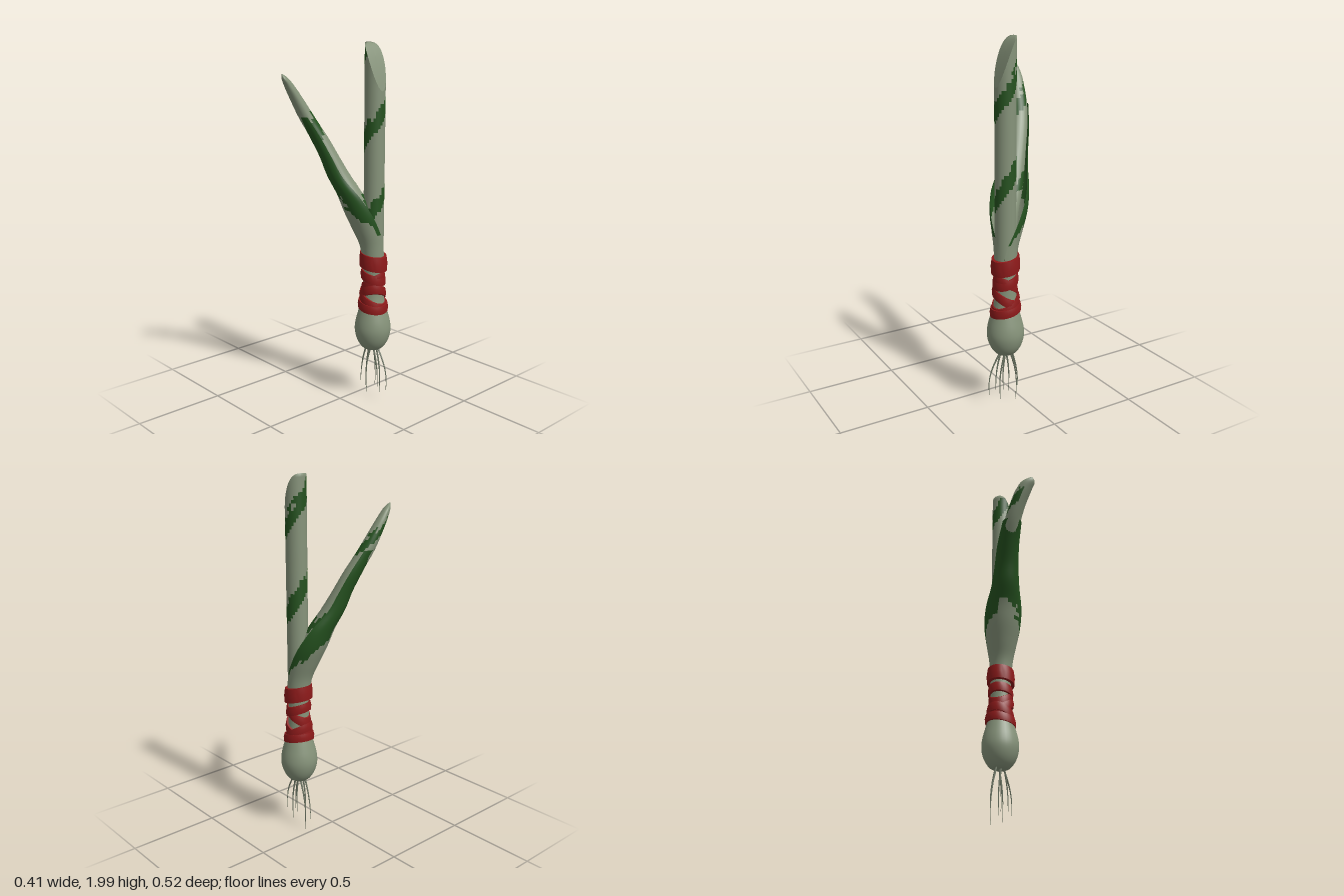
import * as THREE from 'three';
import { toCreasedNormals } from 'three/addons/utils/BufferGeometryUtils.js';

const CX = 0.098, CZ = -0.16; // main axis of the plant
const paint = (color) => new THREE.MeshStandardMaterial({ color, side: THREE.DoubleSide });
const PALE = paint(0x86937a), GREEN = paint(0x25521f), RED = paint(0x8e1a1a), ROOT = paint(0x6f7866);

// Repeatable value 0..1 for the blocky mottling
const hash = (i, j) => {
  const s = Math.sin(i * 12.99 + j * 78.23) * 4375.85;
  return s - Math.floor(s);
};

// Smooth interpolation through rows of [y, ...values]
function curveOf(keys) {
  const size = keys[0].length - 1;
  const lookup = new THREE.CubicInterpolant(
    keys.map((k) => k[0]), keys.flatMap((k) => k.slice(1)), size, new Float32Array(size));
  return (y) => Array.from(lookup.evaluate(y));
}

// Skin over rows of points, bottom to top; each cell takes one of two colours
function loft(name, rows, segs, closed, point, isGreen, base = PALE) {
  const n = closed ? segs : segs + 1;
  const position = [], all = [], pale = [], green = [];
  for (let i = 0; i <= rows; i++) for (let j = 0; j < n; j++) position.push(...point(i, j / segs));
  for (let i = 0; i < rows; i++) {
    for (let j = 0; j < segs; j++) {
      const k = (j + 1) % n;
      const a = i * n + j, b = i * n + k, c = (i + 1) * n + k, d = (i + 1) * n + j;
      const y = position[a * 3 + 1];
      const quad = [a, b, c, a, c, d];
      all.push(...quad);
      (isGreen && isGreen(y, (j + 0.5) / segs, i, j) ? green : pale).push(...quad);
    }
  }
  const whole = new THREE.BufferGeometry();
  whole.setAttribute('position', new THREE.Float32BufferAttribute(position, 3));
  whole.setIndex(all);
  whole.computeVertexNormals();
  const group = new THREE.Group();
  group.name = name;
  [[pale, base, 'Pale'], [green, GREEN, 'Green']].forEach(([index, material, suffix]) => {
    if (!index.length) return;
    const part = whole.clone().setIndex(index);
    const mesh = new THREE.Mesh(part, material);
    mesh.name = name + suffix;
    group.add(mesh);
  });
  return group;
}

// Round bulb narrowing into the neck
function bulb() {
  const outline = [[0, 0.31], [0.04, 0.308], [0.068, 0.33], [0.09, 0.37], [0.101, 0.42], [0.097, 0.47],
    [0.082, 0.53], [0.066, 0.59], [0.058, 0.66], [0.056, 0.8]].map((p) => new THREE.Vector2(...p));
  const smooth = new THREE.SplineCurve(outline).getPoints(36);
  smooth.forEach((p) => { p.x = Math.max(p.x, 0); });
  const mesh = new THREE.Mesh(new THREE.LatheGeometry(smooth, 32), PALE);
  mesh.name = 'bulb';
  mesh.position.set(CX, 0, CZ);
  return mesh;
}

// Upright stalk with a slanting cut at the top and a green spiral stripe
function stalk() {
  const sides = 70, caps = 6;
  const point = (i, u) => {
    const t = u * Math.PI * 2;
    const r = 0.056 * (i <= sides ? 1 : 1 - (i - sides) / caps);
    const x = CX + r * Math.sin(t);
    const across = Math.max(0, (x - 0.042) / 0.112);
    const y = Math.min(0.7 + 1.3 * Math.min(1, i / sides), 2 - 0.25 * across ** 1.8);
    return [x, y, CZ + r * Math.cos(t)];
  };
  const stripe = (y, u, i, j) => {
    const phase = (y - 0.46 * u - 1.46 + 4.6) % 0.46;
    return i < sides && phase < 0.08 + 0.05 * hash(i >> 1, j >> 1);
  };
  return loft('stalk', sides + caps, 28, true, point, stripe);
}

// Side leaf: y, centre x, centre z, half depth (outward), half width
const leafAt = curveOf([
  [0.9, 0.095, -0.155, 0.054, 0.054], [1.1, 0.06, -0.115, 0.058, 0.062], [1.2, 0.015, -0.07, 0.062, 0.066],
  [1.3, -0.03, -0.028, 0.056, 0.06], [1.4, -0.066, 0.008, 0.047, 0.056], [1.5, -0.105, 0.05, 0.047, 0.052],
  [1.6, -0.142, 0.1, 0.044, 0.046], [1.7, -0.16, 0.155, 0.036, 0.044], [1.78, -0.166, 0.205, 0.026, 0.043],
  [1.82, -0.164, 0.235, 0.016, 0.034], [1.84, -0.162, 0.252, 0.003, 0.008]]);

// Dark outer sheath, open towards the stalk: ..., plus half angle of the wrap
const sheathAt = curveOf([
  [0.82, 0.098, -0.16, 0.059, 0.059, 3.14], [0.92, 0.09, -0.152, 0.068, 0.066, 2.8],
  [1.0, 0.075, -0.138, 0.084, 0.082, 2.45], [1.1, 0.052, -0.115, 0.098, 0.1, 2.15],
  [1.2, 0.022, -0.083, 0.094, 0.1, 1.9], [1.3, -0.028, -0.032, 0.075, 0.078, 1.75],
  [1.4, -0.064, 0.004, 0.063, 0.067, 1.7], [1.5, -0.1, 0.042, 0.06, 0.061, 1.65],
  [1.615, -0.14, 0.1, 0.05, 0.053, 1.6]]);

// Point on a level ellipse whose depth axis leans out to the front right
function oval([x, z, depth, width], angle, y) {
  const out = depth * Math.cos(angle), side = width * Math.sin(angle);
  return [x + (side - out) * Math.SQRT1_2, y, z + (side + out) * Math.SQRT1_2];
}

function sideLeaf() {
  const rows = 48;
  const height = (i) => 0.9 + 0.94 * Math.sin((i / rows) * Math.PI / 2);
  return loft('sideLeaf', rows, 24, true,
    (i, u) => oval(leafAt(height(i)), u * Math.PI * 2, height(i)),
    (y, u, i, j) => {
      const stripe = (y - 0.3 * u + 3) % 0.42;
      return stripe > 0.2 && stripe < 0.25 + 0.06 * hash(i >> 1, j >> 1) && y < 1.8;
    });
}

function sheath() {
  const rows = 40;
  const height = (i) => 0.82 + 0.795 * i / rows;
  return loft('sheath', rows, 30, false,
    (i, u) => {
      const [x, z, depth, width, wrap] = sheathAt(height(i));
      return oval([x, z, depth, width], (u * 2 - 1) * wrap, height(i));
    },
    (y, u, i, j) => y > 1.17 - 0.25 * (u * 2 - 1) ** 2 + 0.1 * (hash(i >> 1, j >> 2) - 0.5));
}

// Flat ribbon loops, each tilted across x and z
function binding() {
  const group = new THREE.Group();
  group.name = 'ribbonBinding';
  const loops = [
    // y, outer radius, height, tilt in x, tilt in z
    [0.825, 0.076, 0.08, -0.2, 0.05], [0.735, 0.068, 0.05, -0.3, 0.1], [0.705, 0.065, 0.05, 0.6, -0.2],
    [0.635, 0.071, 0.05, 0.45, 0.35], [0.6, 0.075, 0.05, -0.55, 0.1], [0.57, 0.083, 0.045, -0.2, -0.05]];
  loops.forEach(([y, r, h, tiltX, tiltZ], i) => {
    const inner = r - 0.018;
    const section = [[inner, -h / 2], [r, -h / 2], [r + 0.002, 0], [r - 0.003, h / 2], [inner, h / 2], [inner, -h / 2]];
    const geometry = new THREE.LatheGeometry(section.map((p) => new THREE.Vector2(...p)), 36);
    const p = geometry.attributes.position;
    for (let k = 0; k < p.count; k++) p.setY(k, p.getY(k) + tiltX * p.getX(k) + tiltZ * p.getZ(k));
    const mesh = new THREE.Mesh(toCreasedNormals(geometry, 0.7), RED);
    mesh.name = 'ribbonLoop' + (i + 1);
    mesh.position.set(CX, y, CZ);
    group.add(mesh);
  });
  return group;
}

// Thin tapering roots, fanned out sideways
function roots() {
  const group = new THREE.Group();
  group.name = 'roots';
  const tips = [
    // start x, tip x, tip y, z offset, bend
    [0.062, 0.012, 0.08, 0.008, 0.012], [0.08, 0.04, 0.01, -0.012, 0.022], [0.09, 0.07, 0.06, 0.016, 0.012],
    [0.1, 0.115, 0.09, -0.006, 0.008], [0.115, 0.152, 0.09, 0.012, 0.012], [0.108, 0.14, 0.04, -0.016, 0.016],
    [0.13, 0.204, 0.08, -0.005, 0.028]];
  tips.forEach(([x0, x1, y1, dz, bend], i) => {
    const rows = 14;
    group.add(loft('root' + (i + 1), rows, 6, true, (k, u) => {
      const v = k / rows, t = u * Math.PI * 2, r = 0.001 + 0.005 * v;
      const sway = Math.sign(x1 - x0) * bend * Math.sin(v * Math.PI);
      return [x1 + (x0 - x1) * v + sway + r * Math.sin(t), y1 + (0.325 - y1) * v, CZ + dz + r * Math.cos(t)];
    }, null, ROOT));
  });
  return group;
}

export function createModel() {
  const model = new THREE.Group();
  model.name = 'springOnion';
  model.add(bulb(), stalk(), sideLeaf(), sheath(), binding(), roots());
  return model;
}
